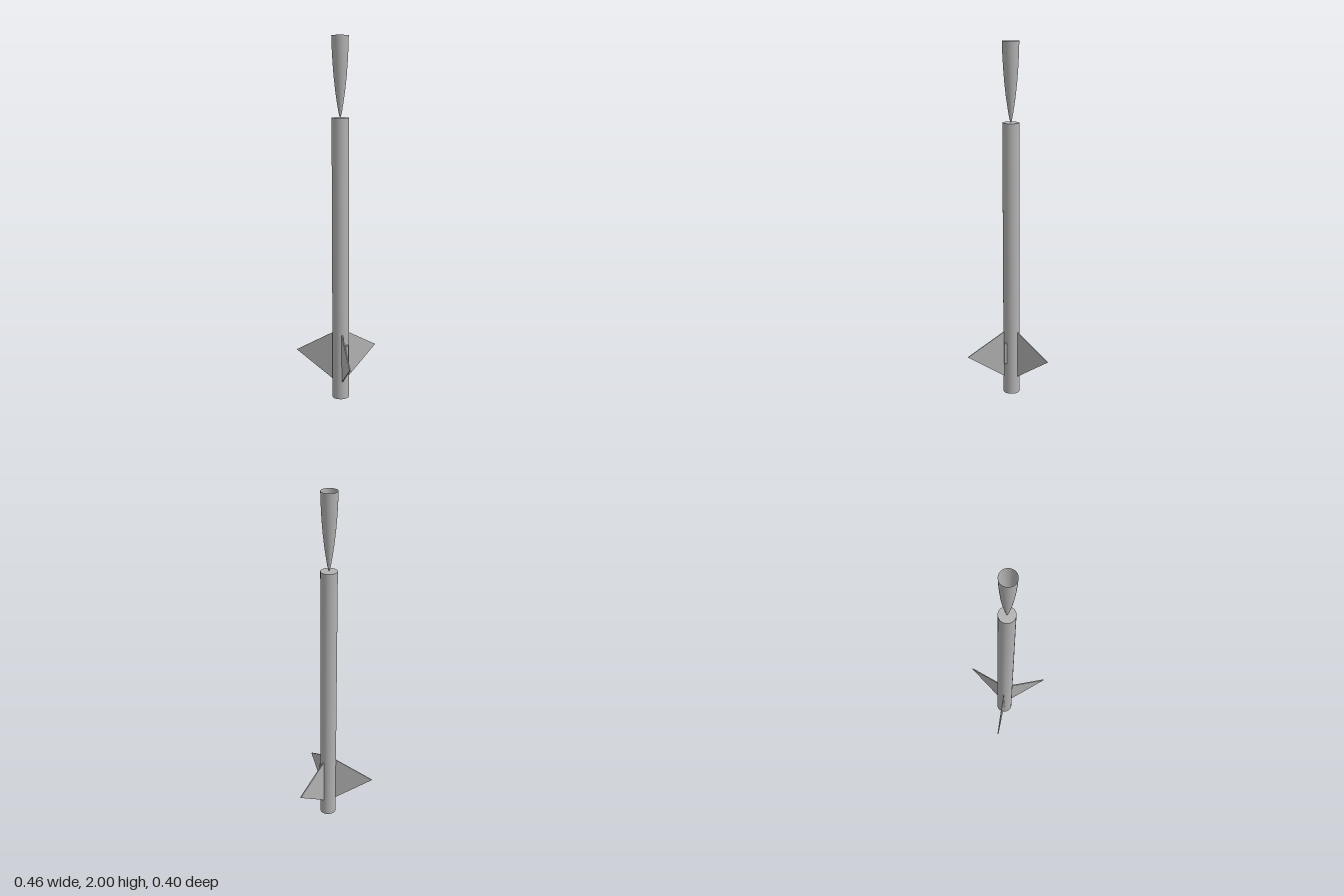
import * as THREE from 'three';

export function createModel() {
  const model = new THREE.Group();
  const grey = new THREE.MeshStandardMaterial({ color: 0xb2b2b2, side: THREE.DoubleSide });
  grey.name = 'light grey';

  const R = 0.046;       // body radius
  const AXIS_Z = 0.063;  // body axis, offset so the three fins are centred
  const BODY_TOP = 1.57;

  const add = (name, geometry, x, y, z) => {
    const mesh = new THREE.Mesh(geometry, grey);
    mesh.name = name;
    mesh.position.set(x, y, z);
    model.add(mesh);
    return mesh;
  };

  // Body tube, closed at both ends
  add('bodyTube', new THREE.CylinderGeometry(R, R, BODY_TOP, 48), 0, BODY_TOP / 2, AXIS_Z);

  // Inverted, hollow nose cone standing on its tip
  const profile = [
    [0, 0], [0.004, 0.008], [0.0095, 0.03], [0.0185, 0.086], [0.0268, 0.145],
    [0.0345, 0.215], [0.0402, 0.29], [0.0438, 0.36], [R, 0.43],
  ].map(([r, y]) => new THREE.Vector2(r, y));
  add('noseCone', new THREE.LatheGeometry(profile, 48), 0, BODY_TOP, AXIS_Z);

  // Three thin triangular fins
  const thickness = 0.006;
  const outline = new THREE.Shape();
  outline.moveTo(R - 0.002, 0.1);
  outline.lineTo(0.263, 0.25);
  outline.lineTo(R - 0.002, 0.375);
  outline.closePath();
  const finGeometry = new THREE.ExtrudeGeometry(outline, { depth: thickness, bevelEnabled: false });
  finGeometry.translate(0, 0, -thickness / 2);
  ['backFin', 'rightFin', 'leftFin'].forEach((name, i) => {
    add(name, finGeometry, 0, 0, AXIS_Z).rotation.y = Math.PI / 2 + (i * Math.PI * 2) / 3;
  });

  // Launch lug on the left side
  add('launchLug', new THREE.CylinderGeometry(0.008, 0.008, 0.125, 24), R + 0.008, 0.2525, AXIS_Z);

  return model;
}
